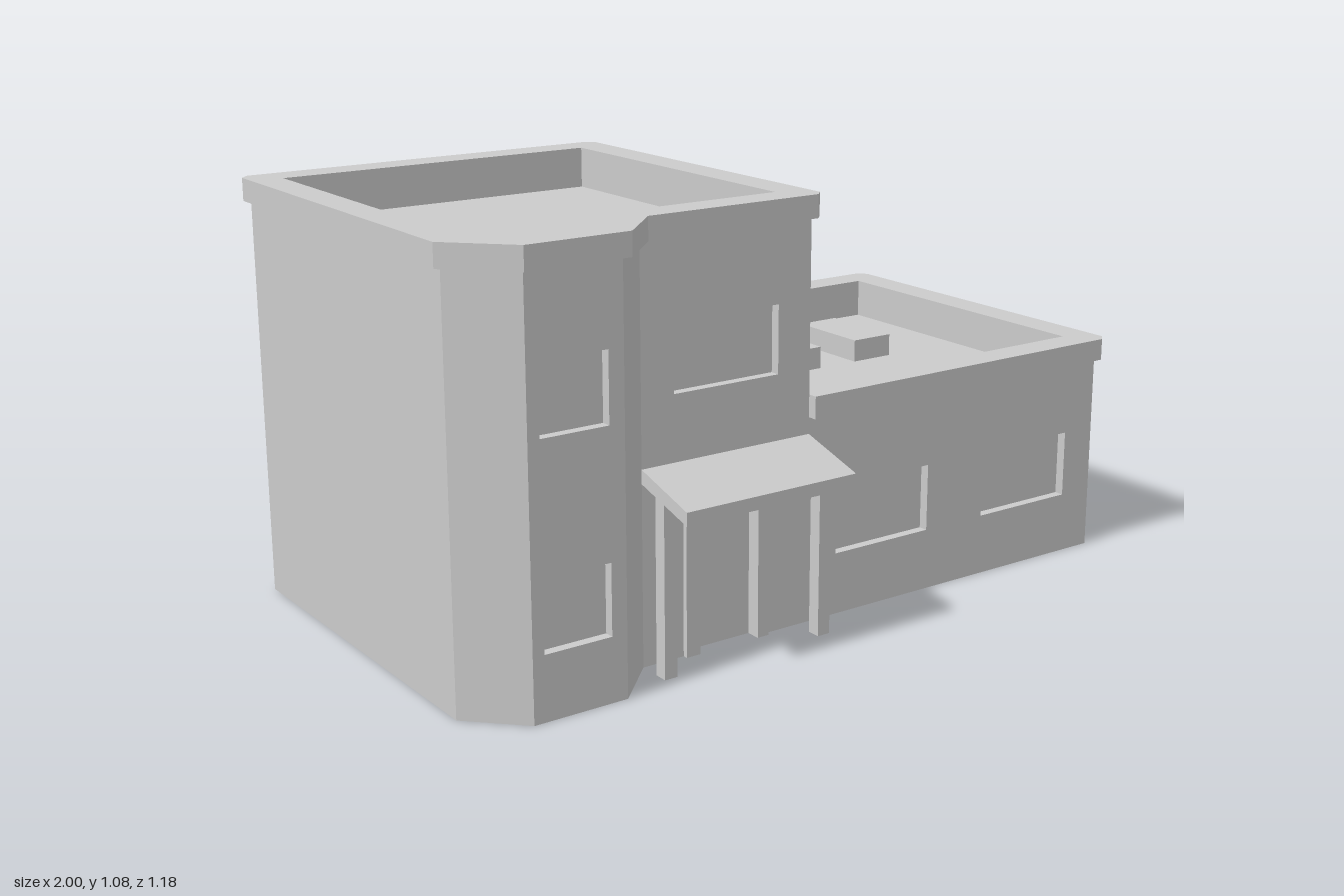
import * as THREE from 'three';

const T = 0.025; // depth of window and door recesses
const mat = new THREE.MeshStandardMaterial({ color: 0xcccccc, flatShading: true });

function add(parent, name, geo) {
  const mesh = new THREE.Mesh(geo, mat);
  mesh.name = name;
  parent.add(mesh);
  return mesh;
}

function box(parent, name, x0, x1, y0, y1, z0, z1) {
  const g = new THREE.BoxGeometry(x1 - x0, y1 - y0, z1 - z0);
  g.translate((x0 + x1) / 2, (y0 + y1) / 2, (z0 + z1) / 2);
  return add(parent, name, g);
}

// Vertical prism from a plan outline of [x, z] points, with an optional hole
function prism(parent, name, plan, y0, y1, hole) {
  const pts = p => p.map(([x, z]) => new THREE.Vector2(x, -z));
  const shape = new THREE.Shape(pts(plan));
  if (hole) shape.holes.push(new THREE.Path(pts(hole)));
  const g = new THREE.ExtrudeGeometry(shape, { depth: y1 - y0, bevelEnabled: false });
  g.rotateX(-Math.PI / 2).translate(0, y0, 0);
  return add(parent, name, g);
}

// Wall slab from plan point a to b (left to right seen from outside)
// windows: [u0, u1, y0, y1], door: [u0, u1, height]
function wall(parent, name, a, b, height, windows = [], door) {
  const dx = b[0] - a[0], dz = b[1] - a[1], len = Math.hypot(dx, dz);
  const s = new THREE.Shape();
  s.moveTo(0, 0);
  if (door) {
    const [u0, u1, h] = door;
    s.lineTo(u0, 0).lineTo(u0, h).lineTo(u1, h).lineTo(u1, 0);
  }
  s.lineTo(len, 0).lineTo(len, height).lineTo(0, height).closePath();
  for (const [u0, u1, y0, y1] of windows) {
    s.holes.push(new THREE.Path([[u0, y0], [u0, y1], [u1, y1], [u1, y0]]
      .map(p => new THREE.Vector2(...p))));
  }
  const g = new THREE.ExtrudeGeometry(s, { depth: T, bevelEnabled: false });
  g.translate(0, 0, -T).rotateY(Math.atan2(-dz, dx)).translate(a[0], 0, a[1]);
  return add(parent, name, g);
}

// Inset a plan outline (ordered as the walls are) by distance d
function inset(plan, d) {
  const n = plan.length;
  const normal = (a, b) => {
    const dx = b[0] - a[0], dz = b[1] - a[1], l = Math.hypot(dx, dz);
    return [dz / l, -dx / l]; // points inward
  };
  return plan.map((p, i) => {
    const m = normal(plan[(i + n - 1) % n], p), k = normal(p, plan[(i + 1) % n]);
    const f = d / (1 + m[0] * k[0] + m[1] * k[1]);
    return [p[0] + (m[0] + k[0]) * f, p[1] + (m[1] + k[1]) * f];
  });
}

export function createModel() {
  const house = new THREE.Group();
  house.name = 'building';
  const LOW = [0.16, 0.335], HIGH = [0.65, 0.82];

  // Two-storey tower with a chamfered bay
  const tower = new THREE.Group();
  tower.name = 'tower';
  house.add(tower);
  const plan = [[-0.98, 0.41], [-0.855, 0.535], [-0.61, 0.535], [-0.485, 0.41],
    [0, 0.41], [0, -0.565], [-0.98, -0.565]];
  const openings = [
    [], [[0.03, 0.205, ...LOW], [0.03, 0.205, ...HIGH]], [],
    [[0.09, 0.39, ...HIGH]], [[0.585, 0.877, ...HIGH]], [[0.586, 0.88, ...HIGH]], [],
  ];
  const doors = { 3: [0.155, 0.325, 0.335], 5: [0.16, 0.335, 0.335] };
  plan.forEach((p, i) =>
    wall(tower, 'towerWall', p, plan[(i + 1) % plan.length], 1.02, openings[i], doors[i]));
  prism(tower, 'towerCoreAndRoof', inset(plan, T), 0, 0.97);

  // Tower parapet and overhanging cornice
  const towerInner = [[-0.92, 0.385], [-0.83, 0.475], [-0.635, 0.475], [-0.515, 0.353],
    [-0.065, 0.353], [-0.065, -0.502], [-0.92, -0.502]];
  const towerOuter = [[-1, 0.42], [-0.865, 0.557], [-0.6, 0.557], [-0.478, 0.435],
    [0, 0.435], [0.022, 0.412], [0.022, -0.565], [0, -0.588], [-0.977, -0.588], [-1, -0.565]];
  prism(tower, 'towerParapet', inset(plan, 0.01), 0.96, 1.02, towerInner);
  prism(tower, 'towerCornice', towerOuter, 1.018, 1.075, towerInner);

  // Single-storey wing
  const wing = new THREE.Group();
  wing.name = 'wing';
  house.add(wing);
  const W = 0.977;
  wall(wing, 'wingFrontWall', [0, 0.41], [W, 0.41], 0.53,
    [[0.09, 0.39, ...LOW], [0.58, 0.88, ...LOW]]);
  wall(wing, 'wingSideWall', [W, 0.41], [W, -0.565], 0.53);
  wall(wing, 'wingBackWall', [W, -0.565], [0, -0.565], 0.53,
    [[W - 0.88, W - 0.58, ...LOW], [W - 0.39, W - 0.09, ...LOW]]);
  box(wing, 'wingCoreAndRoof', -0.01, W - T, 0, 0.48, -0.565 + T, 0.41 - T);

  // Wing parapet and cornice, open towards the tower
  const wingInner = [[0, -0.502], [0.913, -0.502], [0.913, 0.353], [0, 0.353]];
  prism(wing, 'wingParapet', [[0, 0.4], [W - 0.01, 0.4], [W - 0.01, -0.555], [0, -0.555],
    ...wingInner], 0.47, 0.53);
  prism(wing, 'wingCornice', [[0, 0.435], [0.977, 0.435], [1, 0.412], [1, -0.565],
    [0.977, -0.588], [0, -0.588], ...wingInner], 0.528, 0.585);

  // Roof units
  for (const [x0, x1] of [[0.305, 0.425], [0.545, 0.67]]) {
    box(wing, 'roofUnit', x0, x1, 0.47, 0.54, -0.315, -0.075);
  }

  // Porch: sloping canopy, posts and door frame
  const porch = new THREE.Group();
  porch.name = 'porch';
  house.add(porch);
  const slope = [[0.4, 0.489], [0.4, 0.454], [0.59, 0.4], [0.59, 0.433]];
  const canopy = new THREE.ExtrudeGeometry(
    new THREE.Shape(slope.map(([z, y]) => new THREE.Vector2(-z, y))),
    { depth: 0.485, bevelEnabled: false });
  canopy.rotateY(Math.PI / 2).translate(-0.485, 0, 0);
  add(porch, 'canopy', canopy);
  for (const x of [-0.485, -0.035]) {
    box(porch, 'post', x, x + 0.035, 0, 0.435, 0.465, 0.5);
  }
  const frame = new THREE.Shape([[-0.37, 0], [-0.33, 0], [-0.33, 0.335], [-0.16, 0.335],
    [-0.16, 0], [-0.128, 0], [-0.128, 0.367], [-0.37, 0.367]].map(p => new THREE.Vector2(...p)));
  add(porch, 'doorFrame', new THREE.ExtrudeGeometry(frame,
    { depth: 0.023, bevelEnabled: false }).translate(0, 0, 0.4));

  return house;
}
